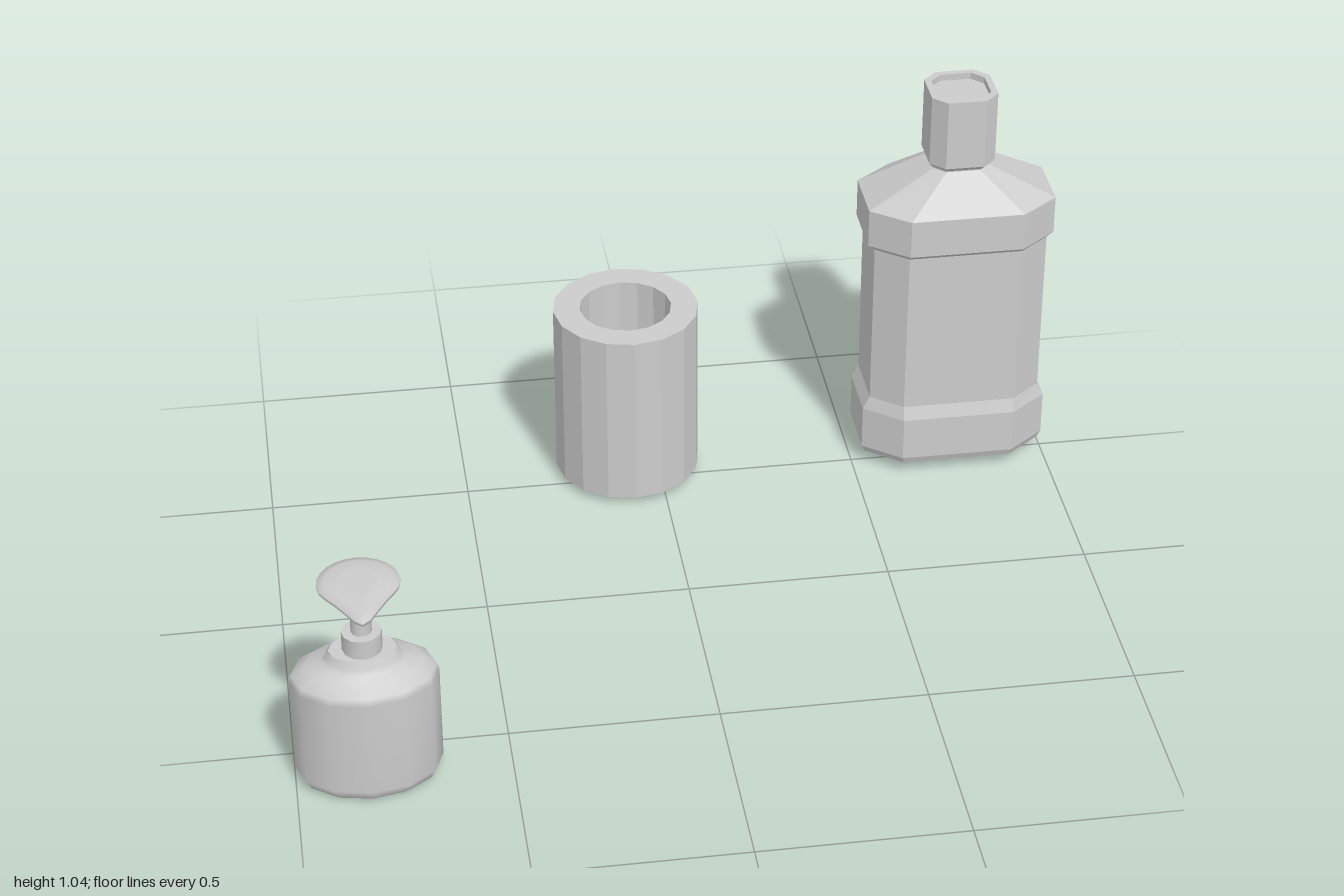
import * as THREE from 'three';

const material = new THREE.MeshStandardMaterial({ color: 0xcccccc });

// Skin a stack of rings (each { y, pts: [[x, z], ...] }) and close both ends.
function loft(name, rings, flat) {
  const n = rings[0].pts.length, pos = [], idx = [];
  rings.forEach(r => r.pts.forEach(([x, z]) => pos.push(x, r.y, z)));
  for (let i = 0; i < rings.length - 1; i++) {
    for (let j = 0; j < n; j++) {
      const k = (j + 1) % n, a = i * n + j, b = i * n + k;
      idx.push(a, a + n, b, b, a + n, b + n);
    }
  }
  // end caps with their own vertices so the rims stay crisp
  [[rings[0], false], [rings[rings.length - 1], true]].forEach(([r, up]) => {
    const s = pos.length / 3;
    let cx = 0, cz = 0;
    r.pts.forEach(([x, z]) => { pos.push(x, r.y, z); cx += x / n; cz += z / n; });
    pos.push(cx, r.y, cz);
    for (let j = 0; j < n; j++) {
      const k = (j + 1) % n;
      if (up) idx.push(s + n, s + k, s + j);
      else idx.push(s + n, s + j, s + k);
    }
  });
  let geo = new THREE.BufferGeometry();
  geo.setAttribute('position', new THREE.Float32BufferAttribute(pos, 3));
  geo.setIndex(idx);
  if (flat) geo = geo.toNonIndexed();
  geo.computeVertexNormals();
  const mesh = new THREE.Mesh(geo, material);
  mesh.name = name;
  return mesh;
}

// Ring makers
function round(y, r, sides, stretch = 1) {
  const pts = [];
  for (let j = 0; j < sides; j++) {
    const a = (j / sides) * Math.PI * 2;
    pts.push([Math.cos(a) * r * stretch, Math.sin(a) * r]);
  }
  return { y, pts };
}
// rectangle hx by hz with cut corners; cx, cz are half lengths of the flats
function octagon(y, hx, hz, cx, cz) {
  return { y, pts: [[hx, -cz], [hx, cz], [cx, hz], [-cx, hz], [-hx, cz], [-hx, -cz], [-cx, -hz], [cx, -hz]] };
}

function createSoapDispenser() {
  const g = new THREE.Group();
  g.name = 'soapDispenser';
  // oval bottle with rounded shoulder
  const body = [[0.003, 0.102], [0.012, 0.112], [0.035, 0.121], [0.28, 0.121], [0.298, 0.117],
    [0.318, 0.094], [0.328, 0.068], [0.342, 0.062], [0.358, 0.055]];
  g.add(loft('soapBottle', body.map(([y, r]) => round(y, r, 12, 1.41))));
  g.add(loft('pumpCollar', [round(0.35, 0.046, 12), round(0.406, 0.046, 12)]));
  const stem = [[0.4, 0.024], [0.495, 0.023], [0.515, 0.03], [0.53, 0.05]];
  g.add(loft('pumpStem', stem.map(([y, r]) => round(y, r, 12))));

  // pump head: a disc drawn out into a pointed spout at the front
  const headRing = (y, s) => {
    const ring = round(y, 0.094 * s, 24);
    ring.pts = ring.pts.map(([x, z]) => {
      const t = Math.max(0, z / (0.094 * s));
      return [x * (1 - 0.3 * t * t), z * (1 + 0.65 * Math.pow(t, 5)) + 0.005];
    });
    return ring;
  };
  const head = loft('pumpHead', [headRing(0.523, 0.5), headRing(0.527, 0.85), headRing(0.534, 0.99),
    headRing(0.543, 1), headRing(0.549, 0.8), headRing(0.552, 0.5)]);
  g.add(head);
  g.position.set(-0.829, 0, 0.588);
  return g;
}

function createCup() {
  // bevelled foot, thick wall, open bore
  const profile = [[0.003, 0.115], [0.024, 0.184], [0.486, 0.184], [0.486, 0.116], [0.04, 0.116]];
  const cup = loft('cup', profile.map(([y, r]) => round(y, r, 16)), true);
  cup.position.set(-0.079, 0, -0.563);
  return cup;
}

function createRinseBottle() {
  const g = new THREE.Group();
  g.name = 'rinseBottle';
  const full = y => octagon(y, 0.237, 0.151, 0.143, 0.078);
  const waist = y => octagon(y, 0.22, 0.139, 0.143, 0.078);
  // base band, recessed waist, upper band, sloping shoulder, neck
  g.add(loft('bottleBody', [
    octagon(0.037, 0.228, 0.144, 0.14, 0.075), full(0.055), full(0.17), waist(0.205),
    waist(0.645), full(0.657), full(0.757),
    octagon(0.845, 0.07, 0.066, 0.042, 0.04), octagon(0.87, 0.07, 0.07, 0.042, 0.042),
  ], true));
  // cap with a sunken top
  const cap = (y, r) => octagon(y, r, r, r * 0.58, r * 0.58);
  g.add(loft('bottleCap', [cap(0.853, 0.075), cap(0.863, 0.083), cap(1.047, 0.083),
    cap(1.047, 0.067), cap(1.03, 0.067)], true));
  g.position.set(0.761, 0, -0.562);
  return g;
}

export function createModel() {
  const model = new THREE.Group();
  model.name = 'bathroomSet';
  model.add(createSoapDispenser(), createCup(), createRinseBottle());
  return model;
}
